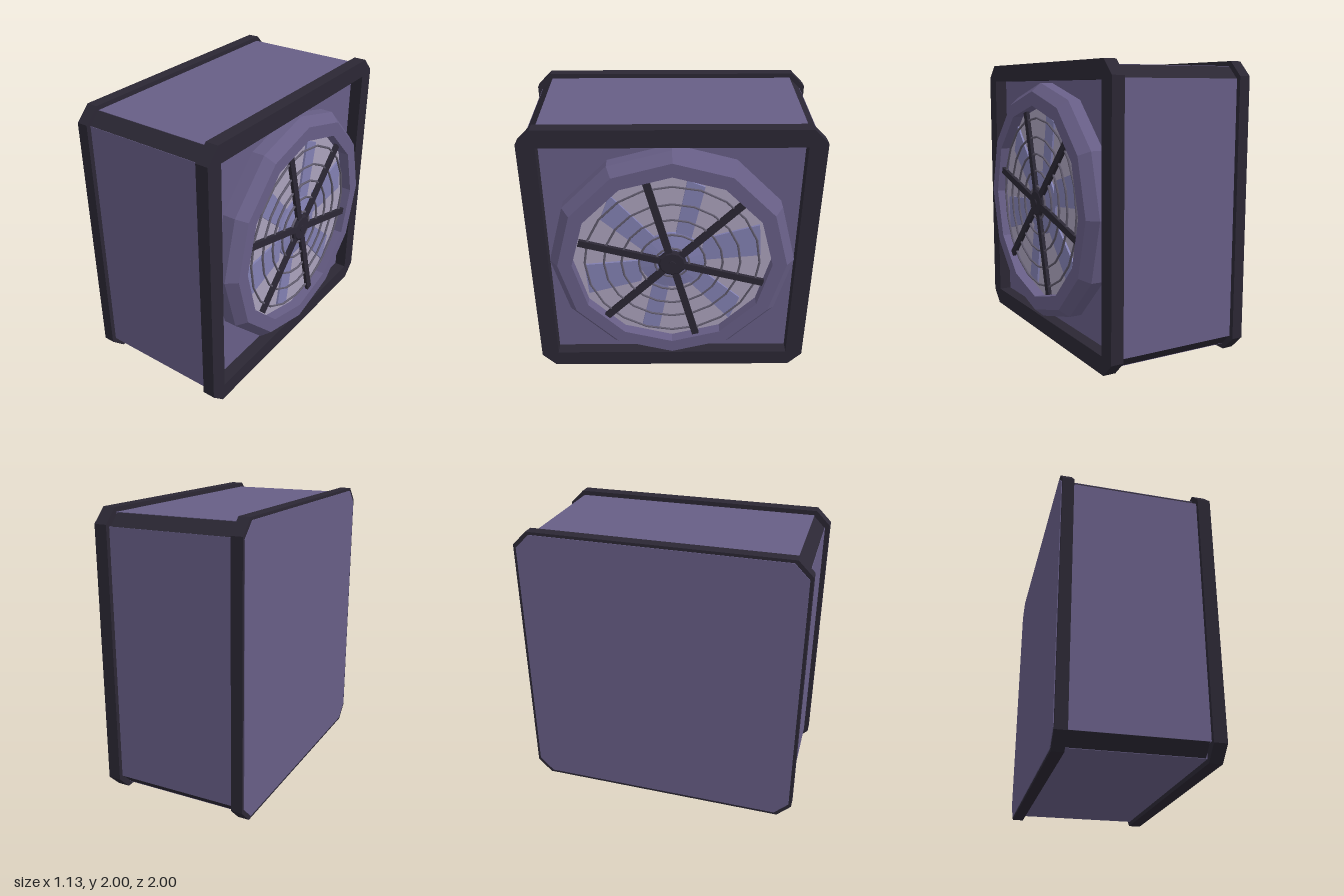
import * as THREE from 'three';

const paint = (color) => new THREE.MeshStandardMaterial({ color, flatShading: true, side: THREE.DoubleSide });
const purple = paint(0x675e86);
const dark = paint(0x2b2734);
const pale = paint(0xaaa1bb);
const blue = paint(0x8280b2);
const wire = paint(0x5f5a6c);

// Square outline with cut corners
function octagon(h, c) {
  const k = h - c;
  return new THREE.Shape([[h, -k], [h, k], [k, h], [-k, h], [-h, k], [-h, -k], [-k, -h], [k, -h]]
    .map(([x, y]) => new THREE.Vector2(x, y)));
}

// Slab of a shape between two depths
function slab(shape, from, to) {
  return new THREE.ExtrudeGeometry(shape, { depth: to - from, bevelEnabled: false }).translate(0, 0, from);
}

// Turned part whose axis points forward; points are [radius, depth]
function turned(points, sides) {
  return new THREE.LatheGeometry(points.map(([r, d]) => new THREE.Vector2(r, d)), sides).rotateX(Math.PI / 2);
}

export function createModel() {
  const model = new THREE.Group();
  const unit = new THREE.Group(); // built facing +z, then turned to face +x
  unit.name = 'fanUnit';
  const add = (name, geometry, material, parent = unit) => {
    const mesh = new THREE.Mesh(geometry, material);
    mesh.name = name;
    parent.add(mesh);
    return mesh;
  };

  // Housing: dark chamfered core with a cross-shaped skin leaving the corners bare
  add('cornerStrips', slab(octagon(0.965, 0.08), -0.49, 0.39), dark);
  const a = 0.968, b = 0.885;
  const cross = new THREE.Shape([[a, -b], [a, b], [b, b], [b, a], [-b, a], [-b, b],
    [-a, b], [-a, -b], [-b, -b], [-b, -a], [b, -a], [b, -b]].map(([x, y]) => new THREE.Vector2(x, y)));
  add('housingPanels', slab(cross, -0.49, 0.4), purple);

  // Front frame with a square opening, back frame with a cover plate
  const frame = octagon(1, 0.1);
  const h = 0.875;
  frame.holes.push(new THREE.Path([[-h, -h], [-h, h], [h, h], [h, -h]].map(([x, y]) => new THREE.Vector2(x, y))));
  add('frontFrame', slab(frame, 0.4, 0.49), dark);
  add('backFrame', slab(octagon(1, 0.1), -0.565, -0.485), dark);
  add('backCover', slab(octagon(0.98, 0.1), -0.57, -0.56), purple);

  // Twelve-sided shroud and the plate inside it
  add('shroud', turned([[0.86, 0.4], [0.86, 0.49], [0.8, 0.56], [0.7, 0.56], [0.7, 0.4]], 12), purple);
  add('shroudPlate', turned([[0.71, 0.47], [0.71, 0.48], [0, 0.48]], 12), pale);

  // Rotor: three blade outlines, each repeated on the opposite side
  const rotor = new THREE.Group();
  rotor.name = 'rotor';
  unit.add(rotor);
  add('rotorHub', turned([[0.23, 0.47], [0.23, 0.495], [0.12, 0.515], [0, 0.515]], 24), blue, rotor);
  const blades = [
    [[0.22, 0.18], [0.6, 0.29], [0.62, 0.04], [0.2, 0]],
    [[0.02, 0.2], [0.1, 0.64], [0.22, 0.59], [0.13, 0.17]],
    [[-0.12, 0.19], [-0.42, 0.53], [-0.49, 0.34], [-0.21, 0.09]],
  ];
  for (const outline of blades) {
    for (const s of [1, -1]) {
      const shape = new THREE.Shape(outline.map(([x, y]) => new THREE.Vector2(x * s, y * s)));
      add('blade', slab(shape, 0.475, 0.495), blue, rotor);
    }
  }

  // Guard: wire rings, six spokes and a centre cap
  const guard = new THREE.Group();
  guard.name = 'guard';
  unit.add(guard);
  for (const r of [0.12, 0.233, 0.355, 0.478, 0.612]) {
    add('guardRing', new THREE.TorusGeometry(r, 0.008, 6, 20).translate(0, 0, 0.525), wire, guard);
  }
  for (let i = 0; i < 6; i++) {
    const spoke = add('spoke', new THREE.BoxGeometry(0.67, 0.05, 0.025).translate(0.335, 0, 0.527), dark, guard);
    spoke.rotation.z = Math.PI / 4 + i * Math.PI / 3;
  }
  add('guardCap', turned([[0.1, 0.51], [0.1, 0.535], [0.085, 0.545], [0, 0.545]], 12), dark, guard);
  add('capBolt', turned([[0.026, 0.54], [0.026, 0.552], [0, 0.552]], 10), dark, guard);

  unit.rotation.y = Math.PI / 2;
  unit.position.y = 1;
  model.add(unit);
  return model;
}
